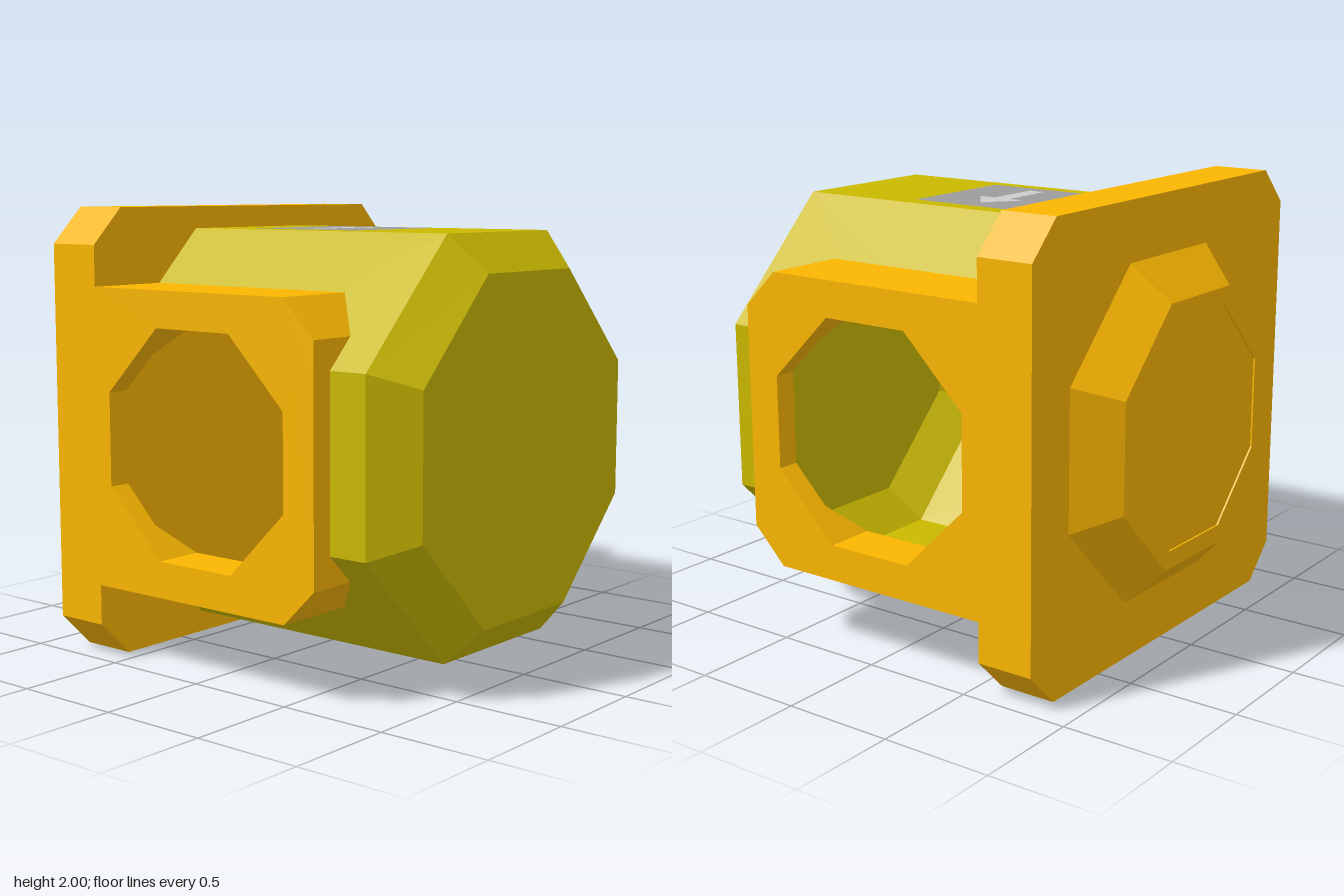
import * as THREE from 'three';

const R = 0.9;                           // drum, centre to flat
const H = R * Math.tan(Math.PI / 8);     // half the width of a drum facet
const drumX = (y) => Math.min(R, R + H - Math.abs(y));

const mat = (color, side = THREE.FrontSide) => new THREE.MeshStandardMaterial({ color, flatShading: true, side });
const points = (pts) => pts.map(([x, y]) => new THREE.Vector2(x, y));
const outline = (pts) => new THREE.Shape(points(pts));

function add(parent, name, geometry, material) {
  const mesh = new THREE.Mesh(geometry, material);
  mesh.name = name;
  parent.add(mesh);
  return mesh;
}

// Eight-sided turned part along z; profile of [centre to flat, z]
function turned(profile) {
  const k = 1 / Math.cos(Math.PI / 8);
  const g = new THREE.LatheGeometry(points(profile.map(([r, z]) => [r * k, z])), 8, Math.PI / 8);
  return g.rotateX(Math.PI / 2);
}

// Flat shape drawn in (z, y), placed at x = rule(y)
function sidePanel(shape, sx, sy, rule) {
  const g = new THREE.ShapeGeometry(shape);
  const p = g.attributes.position;
  for (let i = 0; i < p.count; i++) {
    const z = p.getX(i), y = p.getY(i);
    p.setXYZ(i, sx * rule(y), sy * y, z);
  }
  g.computeVertexNormals();
  return g;
}

// Wall along a closed (z, y) contour, from the outer face in to the drum
function sideWall(contour, sx) {
  const pos = [], index = [], n = contour.length;
  contour.forEach(([z, y], i) => {
    const a = 2 * i, b = 2 * ((i + 1) % n);
    pos.push(sx, y, z, sx * drumX(y), y, z);
    index.push(a, b, a + 1, a + 1, b, b + 1);
  });
  const g = new THREE.BufferGeometry();
  g.setAttribute('position', new THREE.Float32BufferAttribute(pos, 3));
  g.setIndex(index);
  g.computeVertexNormals();
  return g;
}

export function createModel() {
  const model = new THREE.Group();
  model.name = 'pipeConnector';
  const body = new THREE.Group();
  body.name = 'body';
  body.position.y = 1;
  model.add(body);

  const orange = mat(0xfab600);
  const orangeThin = mat(0xfab600, THREE.DoubleSide);
  const oliveThin = mat(0xcab900, THREE.DoubleSide);
  const grey = mat(0x9c9c9c);
  const light = mat(0xc8c8c8);

  // Back flange with clipped corners
  const c = 0.84;
  const flange = new THREE.ExtrudeGeometry(outline([
    [1, -c], [1, c], [c, 1], [-c, 1], [-1, c], [-1, -c], [-c, -1], [c, -1],
  ]), { depth: 0.26, bevelEnabled: false });
  add(body, 'backFlange', flange.translate(0, 0, -0.84), orange);

  // Tapered boss with a shallow panel
  add(body, 'backBoss', turned([[0.74, -0.84], [0.58, -1], [0.5, -1], [0.5, -0.992], [0, -0.992]]), orangeThin);

  // Hollow drum: tapered front, top and bottom
  add(body, 'drumFront', turned([[R, 0.84], [0.74, 1], [0, 1]]), oliveThin);
  const z0 = -0.58, z1 = 0.84;
  for (const s of [1, -1]) {
    const flat = new THREE.PlaneGeometry(2 * H, z1 - z0).rotateX(-s * Math.PI / 2);
    add(body, s > 0 ? 'drumTop' : 'drumBottom', flat.translate(0, s * R, (z0 + z1) / 2), oliveThin);
  }

  // Drum sides, cut around the side openings
  const q = 0.5 * Math.tan(Math.PI / 8), f = 0.5 + q - H;
  const slant = outline([[z0, H], [-f, H], [-q, 0.5], [q, 0.5], [f, H], [z1, H], [z1, R], [z0, R]]);
  const upright = (z, s) => outline([[z, -H], [z, H], [s * f, H], [s * 0.5, q], [s * 0.5, -q], [s * f, -H]]);

  // Side ports: outer block outline and octagonal opening, with points where the drum folds
  const block = [
    [z0, -0.66], [0.5, -0.66], [0.66, -0.5], [0.66, -H], [0.66, H], [0.66, 0.5],
    [0.5, 0.66], [z0, 0.66], [z0, H], [z0, -H],
  ];
  const opening = [
    [0.5, -q], [0.5, q], [f, H], [q, 0.5], [-q, 0.5], [-f, H],
    [-0.5, q], [-0.5, -q], [-f, -H], [-q, -0.5], [q, -0.5], [f, -H],
  ];
  const face = outline(block);
  face.holes.push(new THREE.Path(points(opening)));

  for (const [name, sx] of [['left', 1], ['right', -1]]) {
    add(body, name + 'DrumUpper', sidePanel(slant, sx, 1, drumX), oliveThin);
    add(body, name + 'DrumLower', sidePanel(slant, sx, -1, drumX), oliveThin);
    add(body, name + 'DrumSideFront', sidePanel(upright(z1, 1), sx, 1, drumX), oliveThin);
    add(body, name + 'DrumSideBack', sidePanel(upright(z0, -1), sx, 1, drumX), oliveThin);
    add(body, name + 'PortFace', sidePanel(face, sx, 1, () => 1), orangeThin);
    add(body, name + 'PortWall', sideWall(block, sx), orangeThin);
    add(body, name + 'PortRim', sideWall(opening, sx), orangeThin);
  }

  // Direction plates on top and bottom, both arrows pointing to +x
  const arrow = outline([
    [-0.22, -0.04], [0.05, -0.04], [0.05, -0.12], [0.21, 0], [0.05, 0.12], [0.05, 0.04], [-0.22, 0.04],
  ]);
  for (const [name, s] of [['top', 1], ['bottom', -1]]) {
    const sign = new THREE.Group();
    sign.name = name + 'Sign';
    sign.position.y = s * 0.902;
    sign.rotation.x = -s * Math.PI / 2;
    add(sign, name + 'SignPlate', new THREE.PlaneGeometry(0.59, 0.59), grey);
    add(sign, name + 'Arrow', new THREE.ShapeGeometry(arrow), light).position.z = 0.002;
    body.add(sign);
  }
  return model;
}
